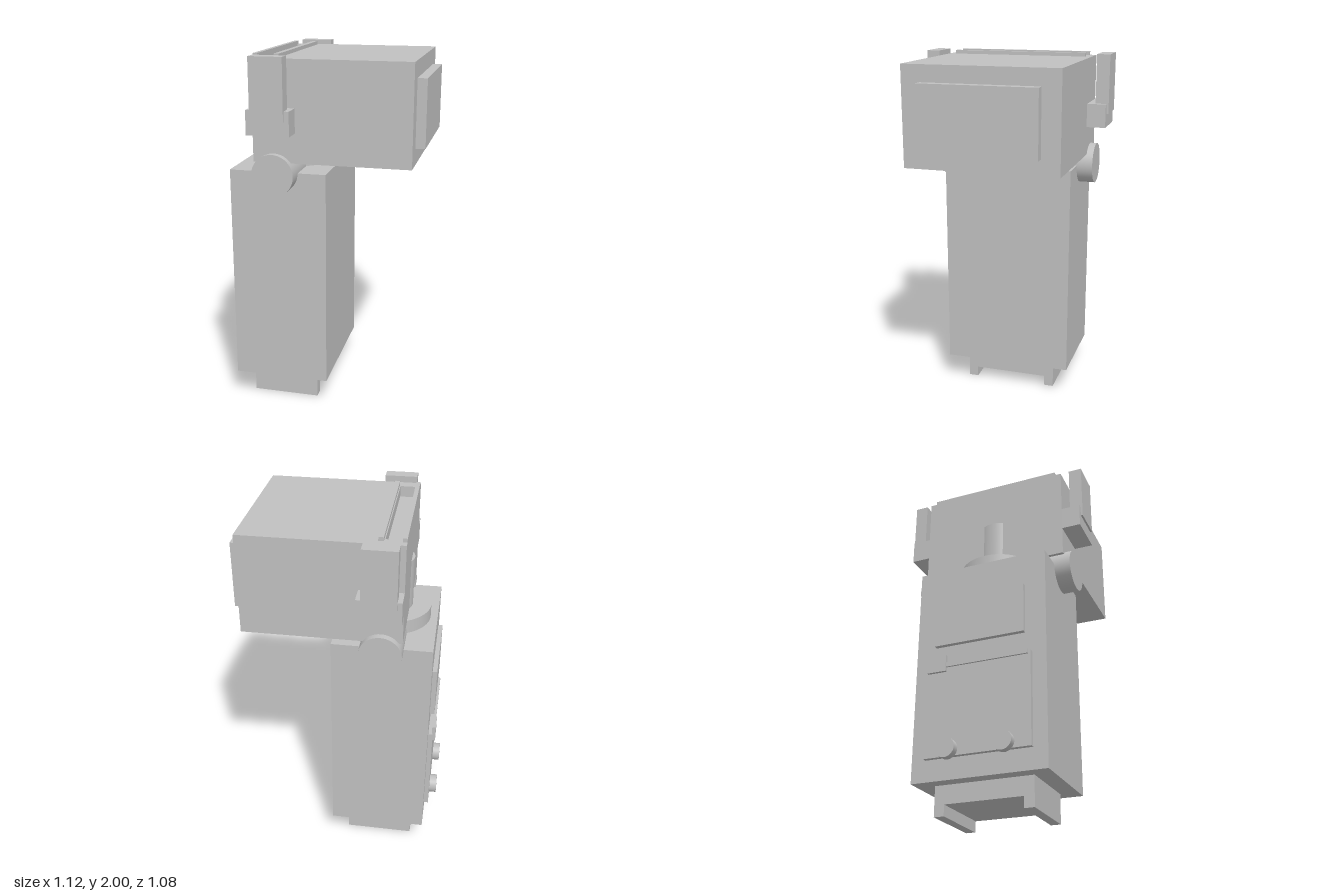
import * as THREE from 'three';

export function createModel() {
  const group = new THREE.Group();
  const grey = new THREE.MeshStandardMaterial({ color: 0xc0c0c0 });
  grey.name = 'light grey';

  const add = (name, geometry) => {
    const mesh = new THREE.Mesh(geometry, grey);
    mesh.name = name;
    group.add(mesh);
    return mesh;
  };
  // Box given by its limits on each axis
  const box = (name, x0, x1, y0, y1, z0, z1) =>
    add(name, new THREE.BoxGeometry(x1 - x0, y1 - y0, z1 - z0))
      .position.set((x0 + x1) / 2, (y0 + y1) / 2, (z0 + z1) / 2);
  const cylinder = (name, radius, length, x, y, z) => {
    const mesh = add(name, new THREE.CylinderGeometry(radius, radius, length, 48));
    mesh.position.set(x, y, z);
    return mesh;
  };
  const rect = (Type, x0, x1, z) => new Type([
    new THREE.Vector2(x0, -z), new THREE.Vector2(x1, -z),
    new THREE.Vector2(x1, z), new THREE.Vector2(x0, z),
  ]);

  // Mounting foot: a plate with two rails below
  const foot = new THREE.Shape([
    [-0.27, 0], [-0.215, 0], [-0.215, 0.06], [0.215, 0.06],
    [0.215, 0], [0.27, 0], [0.27, 0.16], [-0.27, 0.16],
  ].map(([z, y]) => new THREE.Vector2(z, y)));
  const footMesh = add('mountingFoot', new THREE.ExtrudeGeometry(foot, { depth: 0.38, bevelEnabled: false }));
  footMesh.rotation.y = Math.PI / 2;
  footMesh.position.x = -0.42;

  // Body
  box('body', -0.495, 0.04, 0.16, 1.375, -0.37, 0.37);

  // Rear control panels, latch and buttons
  box('displayPanel', -0.52, -0.495, 0.9, 1.18, -0.255, 0.255);
  box('batteryDoor', -0.52, -0.495, 0.275, 0.785, -0.293, 0.293);
  box('doorStrip', -0.53, -0.519, 0.765, 0.79, -0.26, 0.28);
  box('doorLatch', -0.535, -0.515, 0.74, 0.83, -0.285, -0.178);
  for (const z of [-0.155, 0.152]) {
    cylinder('button', 0.053, 0.04, -0.54, 0.311, z).rotation.z = Math.PI / 2;
  }

  // Swivel neck and tilt hinge
  cylinder('turntable', 0.228, 0.075, -0.228, 1.4125, 0);
  cylinder('swivelPost', 0.125, 0.28, -0.23, 1.59, 0);
  cylinder('tiltHinge', 0.114, 0.92, -0.228, 1.375, 0).rotation.x = Math.PI / 2;

  // Head, with a slot in its upper layer
  box('head', -0.34, 0.503, 1.44, 1.92, -0.422, 0.422);
  const layer = rect(THREE.Shape, -0.34, 0.503, 0.422);
  layer.holes.push(rect(THREE.Path, -0.317, -0.232, 0.36));
  const top = add('slottedHeadTop', new THREE.ExtrudeGeometry(layer, { depth: 0.06, bevelEnabled: false }));
  top.rotation.x = -Math.PI / 2;
  top.position.y = 1.92;
  box('slotRail', -0.34, -0.317, 1.98, 2, -0.385, 0.385);
  box('slotRail', -0.227, -0.2, 1.98, 2, -0.385, 0.385);
  box('lampWindow', 0.503, 0.555, 1.53, 1.89, -0.32, 0.32);

  // Side brackets with upright tabs
  for (const s of [-1, 1]) {
    const span = (a, b) => (s > 0 ? [a, b] : [-b, -a]);
    box('sideBracket', -0.34, -0.11, 1.6, 1.73, ...span(0.422, 0.527));
    box('sideTab', -0.315, -0.137, 1.675, 2, ...span(0.464, 0.538));
  }
  return group;
}
